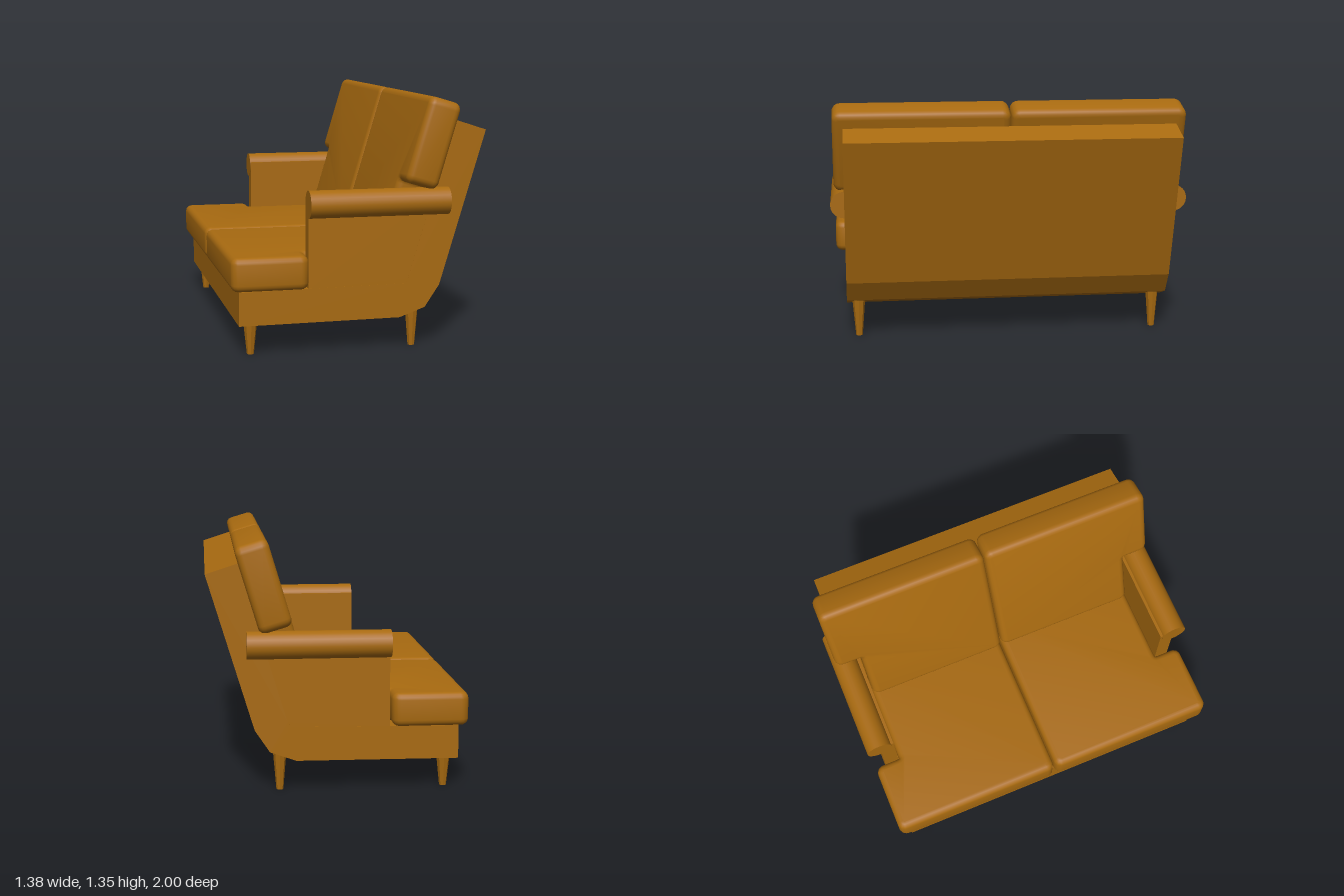
import * as THREE from 'three';
import { toCreasedNormals } from 'three/addons/utils/BufferGeometryUtils.js';

const fabric = new THREE.MeshStandardMaterial({ color: 0xa86a10 });

function addMesh(group, name, geometry) {
  const mesh = new THREE.Mesh(geometry, fabric);
  mesh.name = name;
  group.add(mesh);
  return mesh;
}

// Side profile in (x, y), extruded from z0 to z1
function extrudeSide(points, z0, z1) {
  const shape = new THREE.Shape(points.map(([x, y]) => new THREE.Vector2(x, y)));
  return new THREE.ExtrudeGeometry(shape, { depth: z1 - z0, bevelEnabled: false }).translate(0, 0, z0);
}

// Polygon with rounded corners; inner corners get a larger radius so the bevel fits
function roundedShape(points, outerRadius, innerRadius) {
  const pts = points.map(([x, y]) => new THREE.Vector2(x, y));
  const sign = THREE.ShapeUtils.isClockWise(pts) ? -1 : 1;
  const shape = new THREE.Shape();
  pts.forEach((p, i) => {
    const a = pts[(i + pts.length - 1) % pts.length].clone().sub(p).normalize();
    const b = pts[(i + 1) % pts.length].clone().sub(p).normalize();
    const r = b.cross(a) * sign > 0 ? outerRadius : innerRadius;
    a.multiplyScalar(r).add(p);
    b.multiplyScalar(r).add(p);
    if (i === 0) shape.moveTo(a.x, a.y);
    else shape.lineTo(a.x, a.y);
    shape.quadraticCurveTo(p.x, p.y, b.x, b.y);
  });
  shape.closePath();
  return shape;
}

// Soft padded slab lying between z = 0 and z = thickness
function cushion(points, thickness, bevel) {
  const geometry = new THREE.ExtrudeGeometry(roundedShape(points, 0.012, bevel + 0.015), {
    depth: thickness - 2 * bevel, bevelSize: bevel, bevelThickness: bevel,
    bevelSegments: 4, curveSegments: 4,
  });
  return toCreasedNormals(geometry.translate(0, 0, bevel), 0.7);
}

export function createModel() {
  const sofa = new THREE.Group();
  sofa.name = 'sofa';

  // Base and leaning back in one profile
  addMesh(sofa, 'frame', extrudeSide([
    [-0.65, 0.165], [0.22, 0.17], [0.36, 0.22], [0.44, 0.34], [0.69, 1.17],
    [0.52, 1.225], [0.265, 0.38], [0.25, 0.355], [-0.65, 0.345],
  ], -0.922, 0.922));

  const b = 0.036;
  const up = new THREE.Vector3(0.287, 0.958, 0).normalize();
  const across = new THREE.Vector3(0, 0, 1);
  const lean = new THREE.Matrix4()
    .makeBasis(across, up, across.clone().cross(up))
    .setPosition(0.297, 0.483, 0);

  for (const s of [1, -1]) {
    const side = s > 0 ? 'left' : 'right';

    // Seat cushion, stepped in behind the front of the arm
    const seat = cushion([
      [-0.695 + b, 0.004 + b], [0.3 - b, 0.004 + b], [0.3 - b, 0.835 - b],
      [-0.285 - b, 0.835 - b], [-0.285 - b, 0.985 - b], [-0.695 + b, 0.985 - b],
    ].map(([x, z]) => [x, -s * z]), 0.18, b);
    addMesh(sofa, side + 'SeatCushion', seat.rotateX(-Math.PI / 2).translate(0, 0.355, 0));

    // Back cushion, widened above the arm
    const back = cushion([
      [0.003 + b, b], [0.83 - b, b], [0.83 - b, 0.385 + b],
      [0.98 - b, 0.385 + b], [0.98 - b, 0.86 - b], [0.003 + b, 0.86 - b],
    ].map(([z, v]) => [s * z, v]), 0.18, b);
    addMesh(sofa, side + 'BackCushion', back.applyMatrix4(lean));

    // Arm panel and its roll
    const z = [s * 0.84, s * 0.921].sort((p, q) => p - q);
    addMesh(sofa, side + 'ArmPanel', extrudeSide([
      [-0.278, 0.345], [0.25, 0.35], [0.27, 0.38], [0.4, 0.82], [-0.278, 0.82],
    ], z[0], z[1]));
    const roll = new THREE.CylinderGeometry(0.074, 0.074, 0.76, 24).rotateZ(Math.PI / 2);
    addMesh(sofa, side + 'ArmRoll', roll).position.set(0.1, 0.797, s * 0.926);

    // Tapered legs
    for (const [place, x, height] of [['Front', -0.58, 0.18], ['Rear', 0.305, 0.23]]) {
      const leg = new THREE.CylinderGeometry(0.038, 0.019, height, 8);
      addMesh(sofa, side + place + 'Leg', toCreasedNormals(leg, 0.5)).position.set(x, height / 2, s * 0.855);
    }
  }
  return sofa;
}
